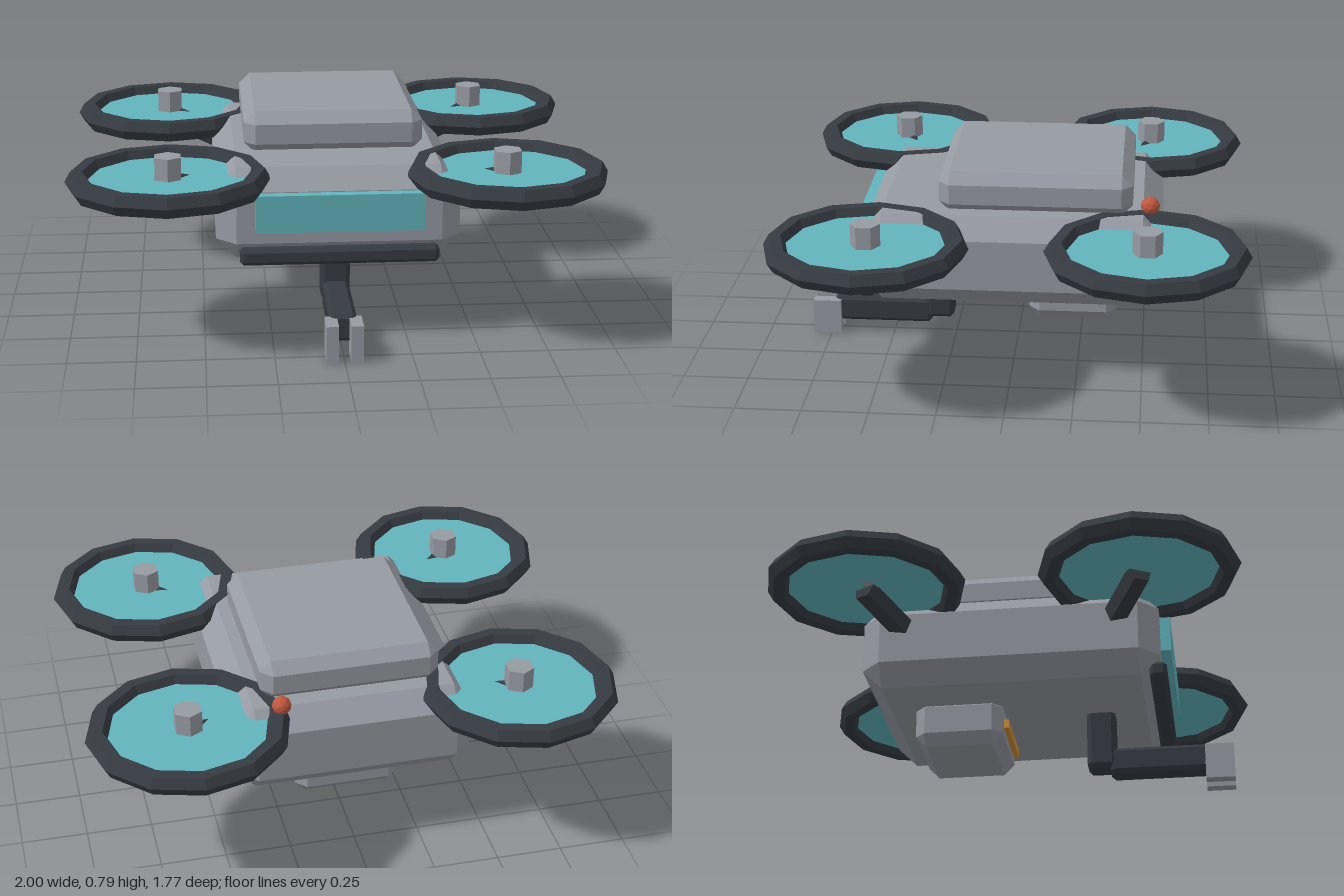
import * as THREE from 'three';
import { ConvexGeometry } from 'three/addons/geometries/ConvexGeometry.js';

const mat = (name, color) => {
  const m = new THREE.MeshStandardMaterial({ color, flatShading: true });
  m.name = name;
  return m;
};

// Box between two corners with every edge cut by a flat chamfer c
function chamferBox([x0, y0, z0], [x1, y1, z1], c) {
  const half = [(x1 - x0) / 2, (y1 - y0) / 2, (z1 - z0) / 2];
  const points = [];
  for (const sx of [-1, 1]) for (const sy of [-1, 1]) for (const sz of [-1, 1])
    for (let axis = 0; axis < 3; axis++) {
      const s = half.map((h, i) => (i === axis ? h : h - c));
      points.push(new THREE.Vector3(s[0] * sx, s[1] * sy, s[2] * sz));
    }
  return new ConvexGeometry(points).translate((x0 + x1) / 2, (y0 + y1) / 2, (z0 + z1) / 2);
}

function plainBox([x0, y0, z0], [x1, y1, z1]) {
  return new THREE.BoxGeometry(x1 - x0, y1 - y0, z1 - z0)
    .translate((x0 + x1) / 2, (y0 + y1) / 2, (z0 + z1) / 2);
}

export function createModel() {
  const grey = mat('hull grey', 0x969aa2);
  const dark = mat('dark frame', 0x363b42);
  const teal = mat('teal glass', 0x62b4bd);
  const orange = mat('orange light', 0xd0923a);
  const red = mat('red beacon', 0xc0573f);

  const model = new THREE.Group();
  model.name = 'quadDrone';
  const add = (parent, name, geometry, material) => {
    const mesh = new THREE.Mesh(geometry, material);
    mesh.name = name;
    parent.add(mesh);
    return mesh;
  };

  // Hull
  add(model, 'body', chamferBox([-0.453, 0.3, -0.565], [0.453, 0.645, 0.565], 0.075), grey);
  add(model, 'canopy', chamferBox([-0.338, 0.63, -0.45], [0.338, 0.79, 0.28], 0.042), grey);
  add(model, 'bellyPod', chamferBox([-0.2, 0.147, -0.395], [0.2, 0.335, -0.055], 0.04), grey);
  add(model, 'podLight', plainBox([-0.145, 0.216, -0.06], [0.145, 0.25, -0.035]), orange);
  add(model, 'frontWindow', plainBox([-0.31, 0.427, 0.55], [0.31, 0.567, 0.605]), teal);
  add(model, 'bumper', chamferBox([-0.367, 0.295, 0.523], [0.367, 0.358, 0.588], 0.014), dark);
  add(model, 'beacon', new THREE.IcosahedronGeometry(0.036, 1).translate(0.28, 0.665, -0.515), red);

  // Gripper
  const gripper = new THREE.Group();
  gripper.name = 'gripper';
  model.add(gripper);
  add(gripper, 'upperLink', chamferBox([-0.055, 0.075, 0.257], [0.055, 0.34, 0.368], 0.016), dark);
  add(gripper, 'foreLink', chamferBox([-0.05, 0.048, 0.345], [0.05, 0.153, 0.735], 0.016), dark);
  for (const s of [-1, 1]) {
    add(gripper, s > 0 ? 'leftJaw' : 'rightJaw',
      plainBox([-0.0225, 0, 0.71], [0.0225, 0.14, 0.82]).translate(s * 0.045, 0, 0), grey);
  }

  // Four ducted rotors on sloping struts
  const up = new THREE.Vector3(0, 1, 0);
  for (const sx of [-1, 1]) for (const sz of [-1, 1]) {
    const rotor = new THREE.Group();
    rotor.name = (sz > 0 ? 'front' : 'back') + (sx > 0 ? 'Left' : 'Right') + 'Rotor';
    model.add(rotor);
    const cx = sx * 0.623, cz = sz * 0.51;

    add(rotor, 'ring',
      new THREE.TorusGeometry(0.332, 0.043, 6, 12).rotateX(Math.PI / 2).translate(cx, 0.61, cz), dark);
    add(rotor, 'disc', new THREE.CylinderGeometry(0.312, 0.312, 0.016, 24).translate(cx, 0.608, cz), teal);
    add(rotor, 'hub', new THREE.CylinderGeometry(0.055, 0.055, 0.1, 6).translate(cx, 0.65, cz), grey);

    // Five-sided strut, ridge upwards
    const a = new THREE.Vector3(sx * 0.36, 0.505, sz * 0.37);
    const b = new THREE.Vector3(sx * 0.63, 0.595, sz * 0.515);
    const dir = b.clone().sub(a);
    const strutGeo = new THREE.CylinderGeometry(0.048, 0.048, dir.length(), 5);
    const y = dir.clone().normalize();
    const z = up.clone().addScaledVector(y, -up.dot(y)).normalize();
    const x = new THREE.Vector3().crossVectors(y, z);
    strutGeo.applyMatrix4(new THREE.Matrix4().makeBasis(x, y, z)
      .setPosition(a.clone().add(b).multiplyScalar(0.5)));
    add(rotor, 'strut', strutGeo, dark);
  }
  return model;
}
